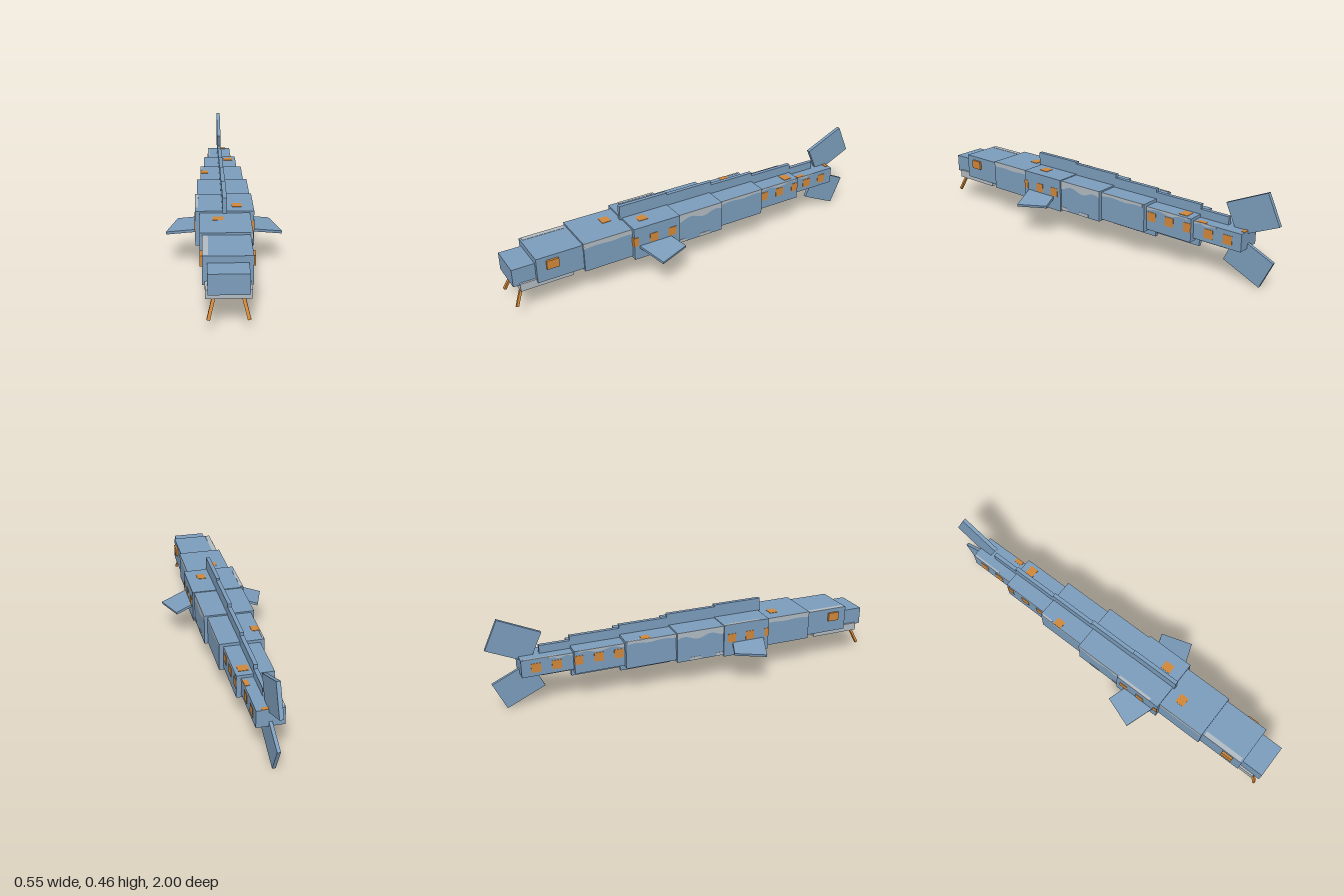
import * as THREE from 'three';

const mat = (name, color) => new THREE.MeshStandardMaterial({ name, color });

export function createModel() {
  const root = new THREE.Group();
  root.name = 'fish';
  const blue = mat('slate blue', 0x7c9dbc);
  const pale = mat('pale grey', 0xb2bcc3);
  const orange = mat('orange', 0xd2883a);

  const add = (name, geo, material, x, y, z) => {
    const m = new THREE.Mesh(geo, material);
    m.name = name;
    m.position.set(x, y, z);
    root.add(m);
    return m;
  };
  // Box given by its extents, centred on x = 0
  const block = (name, material, hw, y0, y1, z0, z1) =>
    add(name, new THREE.BoxGeometry(hw * 2, y1 - y0, z1 - z0), material, 0, (y0 + y1) / 2, (z0 + z1) / 2);

  // Body segments with pale bellies: half width, bottom, top, back, front
  const bellied = [blue, blue, blue, pale, blue, blue];
  const body = {
    head: [0.105, 0.163, 0.29, 0.66, 0.89],
    neck: [0.115, 0.15, 0.3, 0.41, 0.66],
    chest: [0.136, 0.14, 0.309, 0.16, 0.41],
    middle: [0.127, 0.147, 0.305, -0.09, 0.16],
    rear: [0.11, 0.155, 0.297, -0.35, -0.09],
    tailBase: [0.088, 0.165, 0.282, -0.6, -0.35],
    tailTip: [0.065, 0.18, 0.267, -0.85, -0.6],
  };
  for (const [name, b] of Object.entries(body)) block(name, bellied, ...b);
  block('snout', blue, 0.085, 0.17, 0.26, 0.89, 1.0);
  block('jaw', pale, 0.095, 0.14, 0.18, 0.71, 0.97);

  // Stepped fins along the back and under the tail
  [[0.3, 0.375, 0.16, 0.42], [0.29, 0.365, -0.1, 0.16], [0.28, 0.347, -0.35, -0.1],
    [0.27, 0.33, -0.6, -0.35], [0.25, 0.307, -0.75, -0.6]]
    .forEach((f) => block('backFin', blue, 0.01, ...f));
  [[0.1, 0.17, -0.35, -0.085], [0.12, 0.18, -0.6, -0.35], [0.15, 0.19, -0.75, -0.6]]
    .forEach((f) => block('bellyFin', blue, 0.009, ...f));

  // Tail flukes
  add('upperFluke', new THREE.BoxGeometry(0.019, 0.158, 0.222), blue, 0, 0.347, -0.866).rotation.x = 0.43;
  add('lowerFluke', new THREE.BoxGeometry(0.016, 0.15, 0.208), blue, 0, 0.118, -0.857).rotation.x = -0.43;

  const bar = new THREE.BoxGeometry(0.014, 0.1, 0.012);
  for (const s of [1, -1]) {
    // Side fins, swept back and drooping
    const fin = add('sideFin', new THREE.BoxGeometry(0.15, 0.013, 0.164), blue, s * 0.178, 0.194, 0.28);
    fin.rotation.set(0, s * 0.34, s * -0.22, 'ZYX');

    // Barbels
    const barbel = add('barbel', bar, orange, s * 0.071, 0.102, 0.974);
    barbel.rotation.set(-0.4, 0, s * 0.26, 'ZYX');

    add('eye', new THREE.BoxGeometry(0.02, 0.045, 0.06), orange, s * 0.106, 0.248, 0.813);

    // Spots along the flanks: segment, centre z, y, length
    [['chest', 0.399, 0.237, 0.024], ['chest', 0.303, 0.237, 0.045], ['chest', 0.203, 0.237, 0.045],
      ['tailBase', -0.38, 0.235, 0.047], ['tailBase', -0.48, 0.235, 0.047], ['tailBase', -0.579, 0.235, 0.04],
      ['tailTip', -0.68, 0.222, 0.047], ['tailTip', -0.78, 0.222, 0.047]]
      .forEach(([seg, z, y, len]) =>
        add('flankSpot', new THREE.BoxGeometry(0.004, 0.045, len), orange, s * body[seg][0], y, z));

    // Worn pale patches with wavy lower edges: segment, back, front, depth, wave
    [['neck', 0.41, 0.66, 0.025, 0.002], ['middle', -0.09, 0.16, 0.034, 0.01],
      ['rear', -0.34, -0.09, 0.016, 0.003], ['tailBase', -0.58, -0.35, 0.012, 0.006],
      ['tailTip', -0.72, -0.6, 0.01, 0.004]]
      .forEach(([seg, z0, z1, depth, wave]) => {
        const [hw, , top] = body[seg];
        const shape = new THREE.Shape().moveTo(z0, top).lineTo(z1, top);
        for (let i = 12; i >= 0; i--) {
          shape.lineTo(z0 + (z1 - z0) * i / 12, top - depth + wave * Math.sin(i * 0.9));
        }
        const geo = new THREE.ExtrudeGeometry(shape, { depth: 0.002, bevelEnabled: false });
        add('flankPatch', geo, pale, s * hw + 0.001, 0, 0).rotation.y = -Math.PI / 2;
      });
    // Small pale patches low on the flank
    for (const [z, len] of [[0.14, 0.04], [0.01, 0.06]]) {
      add('lowPatch', new THREE.BoxGeometry(0.003, 0.017, len), pale, s * 0.127, 0.156, z);
    }
  }

  // Spots on top: segment, x, z, width, length
  [['neck', -0.032, 0.483, 0.05, 0.045], ['chest', 0.058, 0.328, 0.045, 0.05],
    ['rear', -0.09, -0.245, 0.04, 0.045], ['tailBase', 0.046, -0.545, 0.05, 0.045],
    ['tailTip', 0.054, -0.64, 0.022, 0.045], ['tailTip', 0.024, -0.84, 0.03, 0.02]]
    .forEach(([seg, x, z, w, l]) =>
      add('topSpot', new THREE.BoxGeometry(w, 0.004, l), orange, x, body[seg][2], z));

  // Pale patches along the right upper edge: segment, width, back, front
  [['head', 0.025, 0.67, 0.88], ['chest', 0.015, 0.17, 0.36], ['rear', 0.008, -0.34, -0.28], ['tailTip', 0.01, -0.84, -0.68]]
    .forEach(([seg, w, z0, z1]) => add('topPatch', new THREE.BoxGeometry(w, 0.003, z1 - z0), pale,
      -body[seg][0] + w / 2, body[seg][2], (z0 + z1) / 2));

  // Markings on the front steps of the left side
  add('frontSpot', new THREE.BoxGeometry(0.021, 0.05, 0.004), orange, 0.1255, 0.234, 0.41);
  add('frontPatch', new THREE.BoxGeometry(0.01, 0.028, 0.003), pale, 0.11, 0.285, 0.66);

  return root;
}
